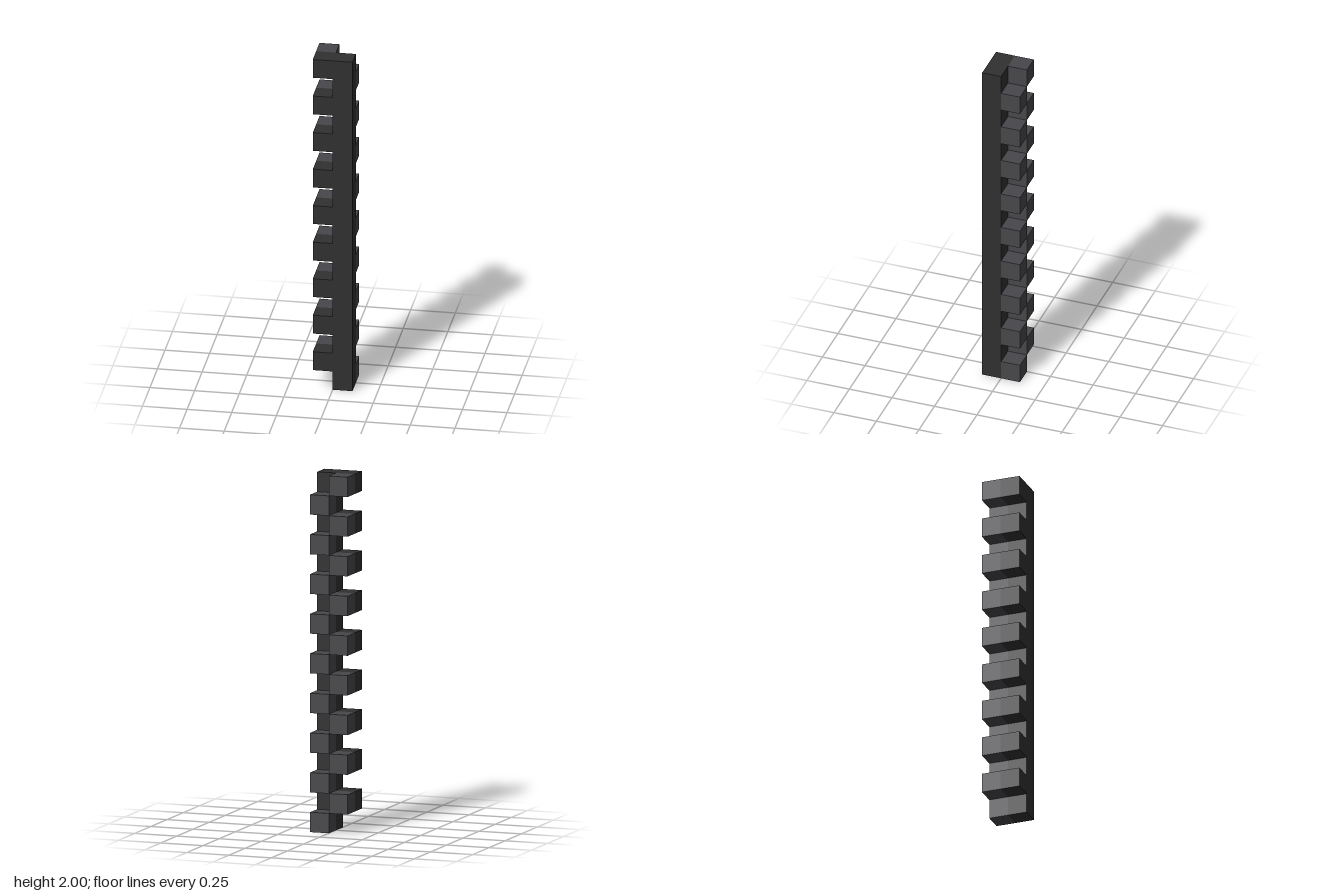
import * as THREE from 'three';

const LEVELS = 18;
const U = 2 / LEVELS; // size of one block

export function createModel() {
  const group = new THREE.Group();
  const dark = new THREE.MeshStandardMaterial({ color: 0x303031 });
  const grey = new THREE.MeshStandardMaterial({ color: 0x47474b });

  // Front comb: a straight post with a square tooth on every second level
  const comb = new THREE.Shape();
  comb.moveTo(0, 0);
  comb.lineTo(U, 0);
  comb.lineTo(U, 2);
  for (let i = LEVELS - 1; i > 0; i -= 2) {
    if (i === LEVELS - 1) comb.lineTo(-U, 2);
    else {
      comb.lineTo(0, (i + 1) * U);
      comb.lineTo(-U, (i + 1) * U);
    }
    comb.lineTo(-U, i * U);
    comb.lineTo(0, i * U);
  }
  const post = new THREE.Mesh(
    new THREE.ExtrudeGeometry(comb, { depth: U, bevelEnabled: false }), dark);
  post.name = 'toothedPost';
  group.add(post);

  // Rear blocks: alternate sides level by level, filling in behind the teeth
  const blocks = new THREE.Group();
  blocks.name = 'rearBlocks';
  const cube = new THREE.BoxGeometry(U, U, U);
  for (let i = 0; i < LEVELS; i++) {
    const block = new THREE.Mesh(cube, grey);
    block.name = 'rearBlock';
    block.position.set((i % 2 ? -0.5 : 0.5) * U, (i + 0.5) * U, -0.5 * U);
    blocks.add(block);
  }
  group.add(blocks);

  return group;
}
